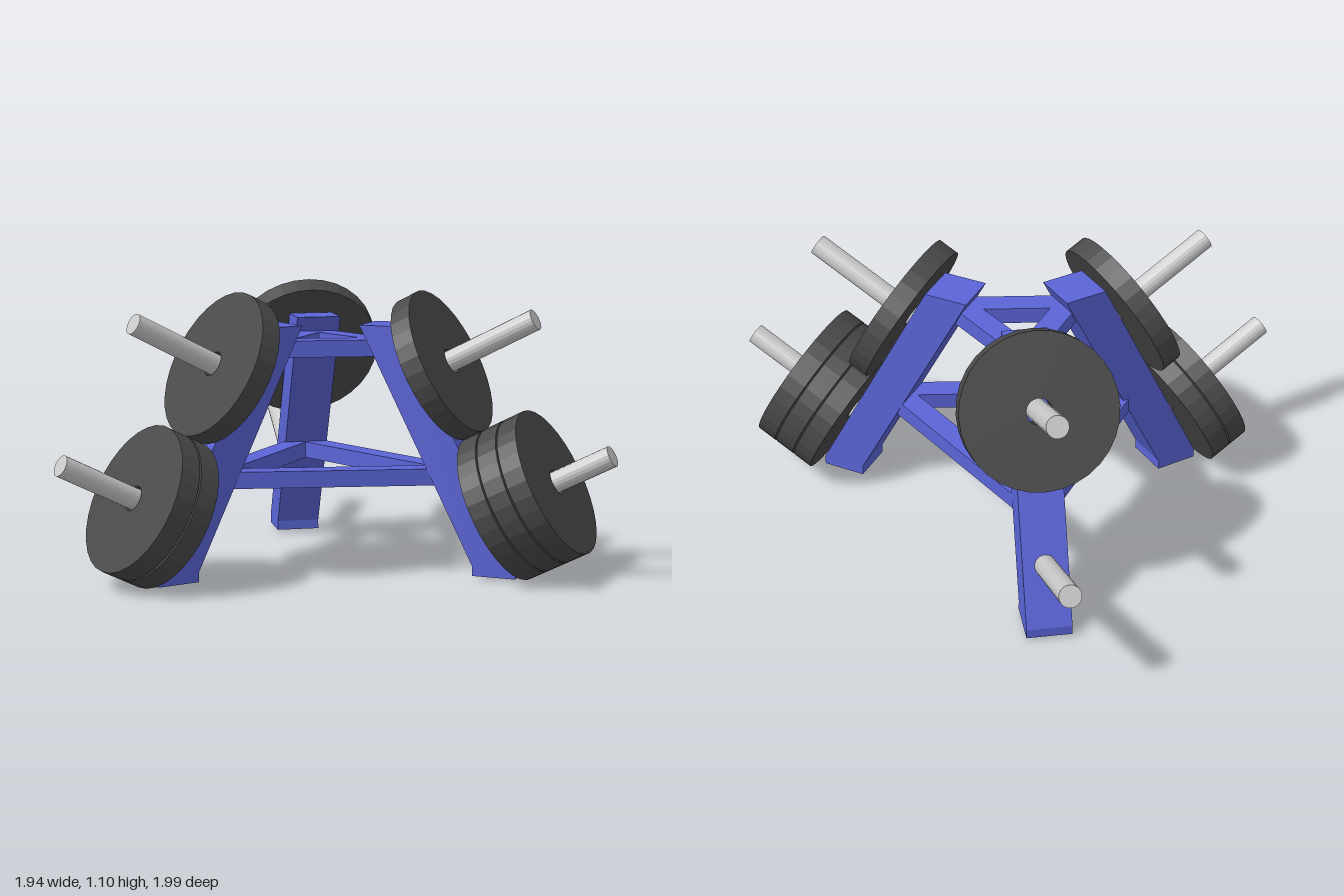
import * as THREE from 'three';

const BLUE = new THREE.MeshStandardMaterial({ color: 0x5a64d6, flatShading: true });
const DARK = new THREE.MeshStandardMaterial({ color: 0x4a4a4a, flatShading: true });
const STEEL = new THREE.MeshStandardMaterial({ color: 0xcccccc, flatShading: true });

const HUB_X = -0.226;                          // vertical axis where the three arms meet
const SPREAD = THREE.MathUtils.degToRad(124.5);
const LEAN = THREE.MathUtils.degToRad(27);     // pegs tilt up by this, square to the legs
const LEG_WIDTH = 0.175;

function mesh(name, geometry, material) {
  const m = new THREE.Mesh(geometry, material);
  m.name = name;
  return m;
}

// Leaning leg with a short upright foot
function makeLeg() {
  const outline = [[0.642, 0.012], [0.816, 0.012], [0.816, 0.05], [0.346, 0.97], [0.171, 0.97], [0.642, 0.05]];
  const shape = new THREE.Shape(outline.map(([x, y]) => new THREE.Vector2(x, y)));
  const geo = new THREE.ExtrudeGeometry(shape, { depth: LEG_WIDTH, bevelEnabled: false });
  return mesh('leg', geo.translate(0, 0, -LEG_WIDTH / 2), BLUE);
}

// Round plate with a centre hole, lying along +x from x = 0
const PLATE_T = 0.083, PLATE_PITCH = 0.09;
function plateGeometry() {
  const r = 0.3, hole = 0.05;
  const profile = [[hole, 0], [r, 0], [r, PLATE_T], [hole, PLATE_T], [hole, 0]];
  const geo = new THREE.LatheGeometry(profile.map(([x, y]) => new THREE.Vector2(x, y)), 32);
  return geo.rotateZ(-Math.PI / 2);
}

// Peg and its plates; local +x runs out along the peg from the leg face
function makePeg(name, x, y, length, plates) {
  const g = new THREE.Group();
  g.name = name;
  const sunk = 0.03;
  const rod = new THREE.CylinderGeometry(0.042, 0.042, length + sunk, 20).rotateZ(-Math.PI / 2);
  g.add(mesh('peg', rod.translate((length - sunk) / 2, 0, 0), STEEL));
  for (let i = 0; i < plates; i++) {
    const plate = mesh('weightPlate', plateGeometry(), DARK);
    plate.position.x = 0.013 + i * PLATE_PITCH;
    g.add(plate);
  }
  g.position.set(x, y, 0);
  g.rotation.z = LEAN;
  return g;
}

// Horizontal bar between two arms at a given height and radius
function makeBar(name, a, b, radius, y) {
  const point = (t) => new THREE.Vector3(HUB_X + radius * Math.cos(t), y, -radius * Math.sin(t));
  const p = point(a), q = point(b);
  const bar = mesh(name, new THREE.BoxGeometry(p.distanceTo(q), 0.065, 0.09), BLUE);
  bar.position.addVectors(p, q).multiplyScalar(0.5);
  bar.rotation.y = Math.atan2(p.z - q.z, q.x - p.x);
  return bar;
}

export function createModel() {
  const model = new THREE.Group();
  model.name = 'weightPlateRack';

  // Three arms, each with one upper plate and a different lower stack
  const arms = [
    { name: 'leftArm', angle: 0, lowerPlates: 3 },
    { name: 'frontRightArm', angle: -SPREAD, lowerPlates: 2 },
    { name: 'backRightArm', angle: SPREAD, lowerPlates: 0 },
  ];
  for (const { name, angle, lowerPlates } of arms) {
    const arm = new THREE.Group();
    arm.name = name;
    arm.add(makeLeg());
    arm.add(makePeg('upperPeg', 0.436, 0.793, 0.477, 1));
    arm.add(makePeg('lowerPeg', 0.707, 0.263, 0.523, lowerPlates));
    arm.position.x = HUB_X;
    arm.rotation.y = angle;
    model.add(arm);
  }

  // Two triangles of cross bars
  arms.forEach((arm, i) => {
    const next = arms[(i + 1) % arms.length];
    model.add(makeBar('upperCrossBar', arm.angle, next.angle, 0.235, 0.878));
    model.add(makeBar('lowerCrossBar', arm.angle, next.angle, 0.525, 0.388));
  });
  return model;
}
